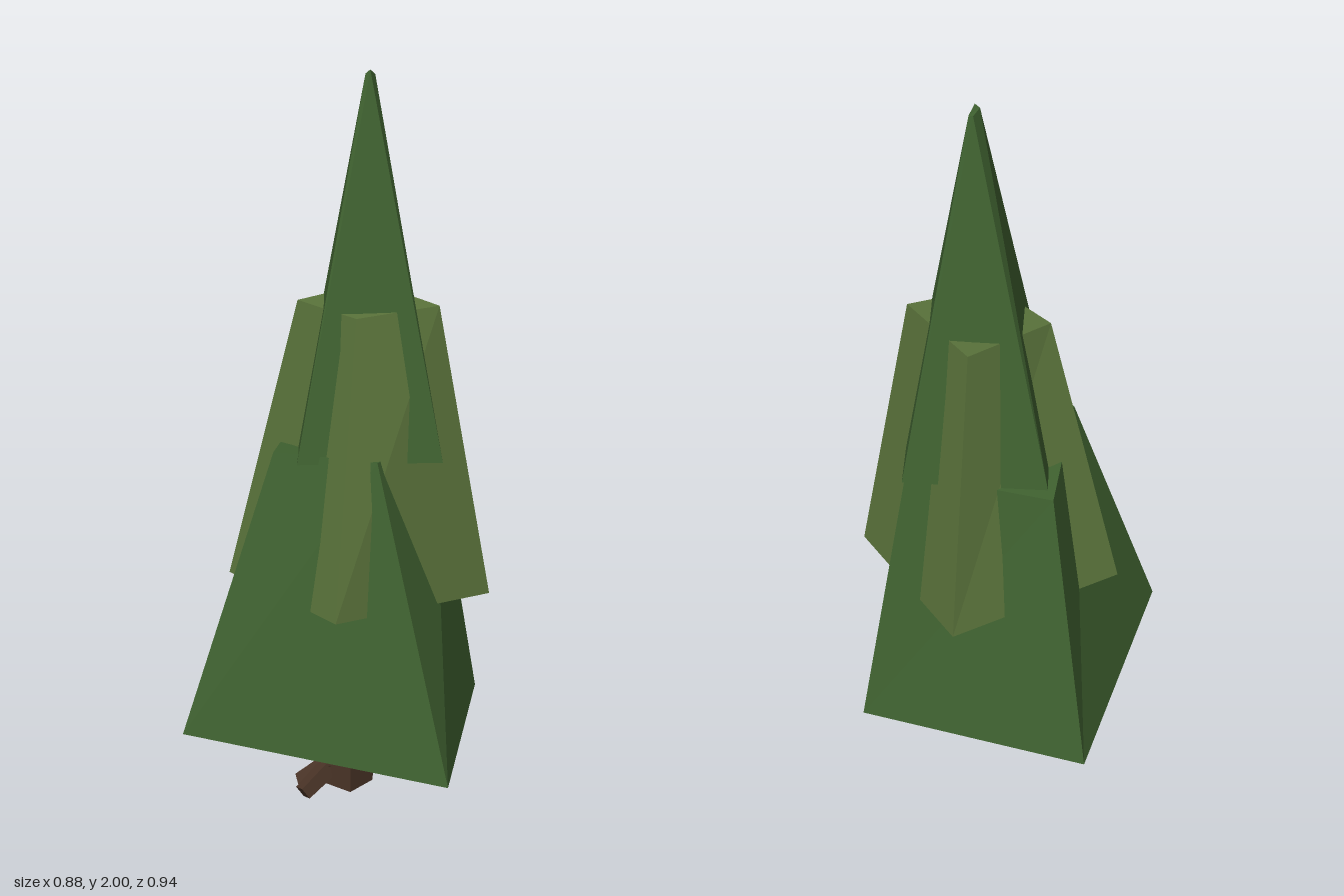
import * as THREE from 'three';

const material = (color) => new THREE.MeshStandardMaterial({ color, flatShading: true });

// Closed four-sided block between two corner rings, each counter-clockwise seen from above
function block(name, base, top, mat) {
  const pos = [];
  const quad = (a, b, c, d) => pos.push(...a, ...b, ...c, ...a, ...c, ...d);
  for (let i = 0; i < 4; i++) {
    const j = (i + 1) % 4;
    quad(base[i], base[j], top[j], top[i]);
  }
  quad(...top);
  quad(base[3], base[2], base[1], base[0]);
  const geo = new THREE.BufferGeometry();
  geo.setAttribute('position', new THREE.Float32BufferAttribute(pos, 3));
  geo.computeVertexNormals();
  const mesh = new THREE.Mesh(geo, mat);
  mesh.name = name;
  return mesh;
}

// Short four-sided root running from one point to another
function root(name, from, to, mat) {
  const a = new THREE.Vector3(...from), b = new THREE.Vector3(...to);
  const dir = b.clone().sub(a);
  const geo = new THREE.CylinderGeometry(0.026, 0.032, dir.length(), 4);
  geo.rotateY(Math.PI / 4);
  const mesh = new THREE.Mesh(geo, mat);
  mesh.position.copy(a).add(b).multiplyScalar(0.5);
  mesh.quaternion.setFromUnitVectors(new THREE.Vector3(0, 1, 0), dir.normalize());
  mesh.name = name;
  return mesh;
}

export function createModel() {
  const tree = new THREE.Group();
  tree.name = 'pineTree';
  const dark = material(0x3f6130);
  const light = material(0x5a733b);
  const bark = material(0x4a3427);

  // Foliage tiers, each twisted against the one below so their corners poke through
  tree.add(block('lowerFoliage',
    [[-0.44, 0.28, -0.2], [-0.155, 0.22, 0.465], [0.44, 0.215, 0.125], [0.19, 0.23, -0.47]],
    [[-0.2, 1.03, -0.08], [-0.105, 1.03, 0.19], [0.285, 1.0, 0.08], [0.115, 1.0, -0.28]], dark));
  tree.add(block('middleFoliage',
    [[-0.275, 0.64, 0.19], [0.22, 0.61, 0.32], [0.37, 0.63, -0.16], [-0.12, 0.62, -0.315]],
    [[-0.08, 1.39, 0.1], [0.14, 1.4, 0.2], [0.22, 1.41, -0.085], [-0.04, 1.4, -0.13]], light));
  tree.add(block('upperFoliage',
    [[-0.2, 1.01, 0], [0.055, 1.01, 0.28], [0.32, 1.0, 0.06], [0.095, 1.0, -0.245]],
    [[0.055, 1.99, 0.02], [0.062, 2.0, 0.03], [0.095, 1.985, 0.02], [0.09, 1.985, 0.01]], dark));

  // Trunk and roots
  tree.add(block('trunk',
    [[-0.035, 0.03, -0.065], [-0.035, 0.03, 0.045], [0.065, 0.03, 0.045], [0.065, 0.03, -0.065]],
    [[-0.03, 0.4, -0.05], [-0.03, 0.4, 0.045], [0.08, 0.4, 0.045], [0.08, 0.4, -0.05]], bark));
  tree.add(root('sideRoot', [-0.01, 0.085, -0.04], [-0.108, 0.022, -0.065], bark));
  tree.add(root('backRoot', [-0.01, 0.085, -0.04], [-0.06, 0.022, -0.115], bark));
  return tree;
}
